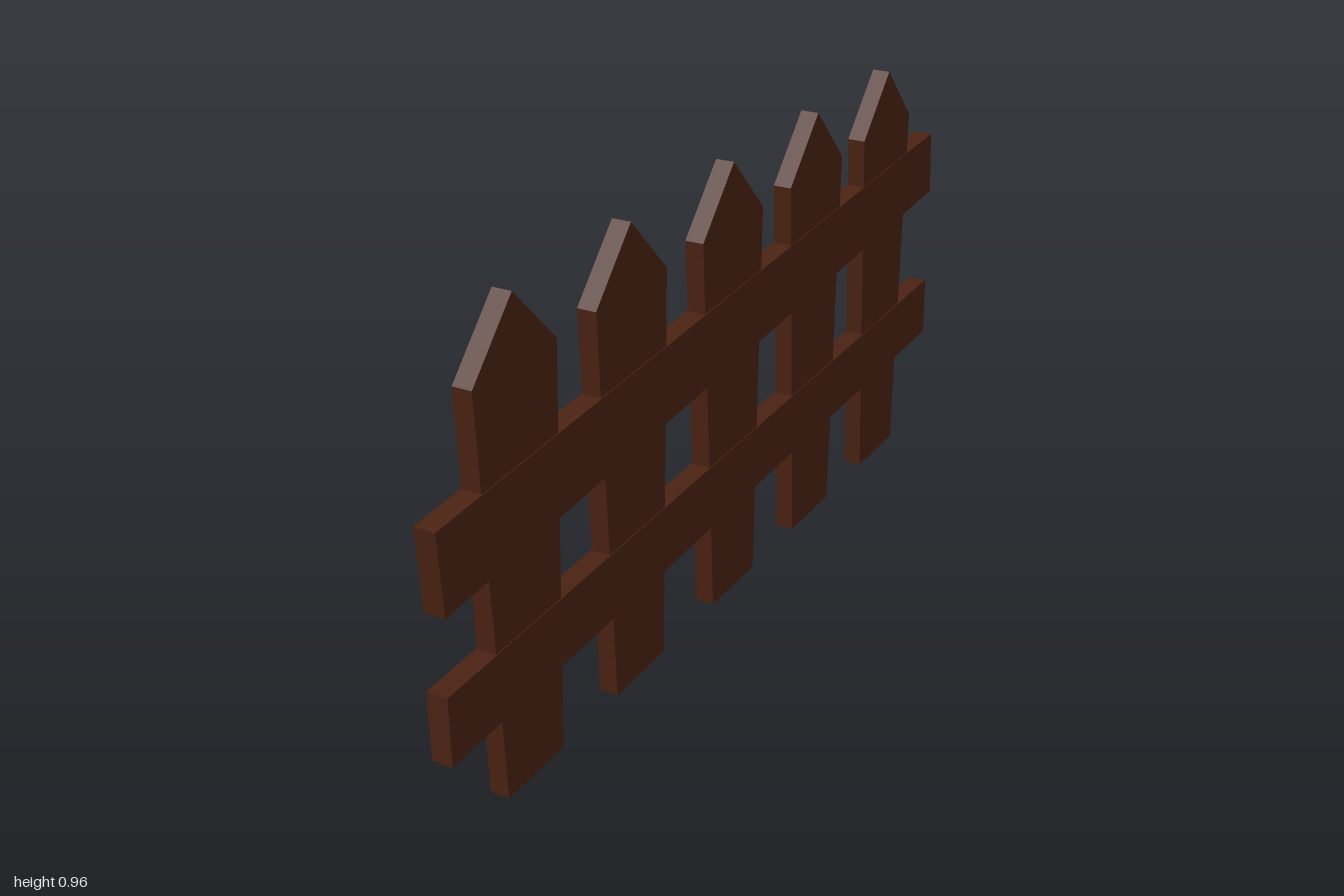
import * as THREE from 'three';

const wood = new THREE.MeshStandardMaterial({ color: 0x4a2213, flatShading: true });

// Board cut from an outline of [z, y] points, with its thickness centred on x = 0
function board(name, points, thickness) {
  const shape = new THREE.Shape(points.map(([z, y]) => new THREE.Vector2(-z, y)));
  const geometry = new THREE.ExtrudeGeometry(shape, { depth: thickness, bevelEnabled: false });
  geometry.translate(0, 0, -thickness / 2);
  geometry.rotateY(Math.PI / 2);
  const mesh = new THREE.Mesh(geometry, wood);
  mesh.name = name;
  return mesh;
}

export function createModel() {
  const group = new THREE.Group();
  group.name = 'picketFence';

  // Pointed pickets, tapering towards the ground
  [0.755, 0.384, 0, -0.37, -0.731].forEach((z, i) => {
    group.add(board(`picket${i + 1}`, [
      [z + 0.089, 0], [z - 0.089, 0], [z - 0.123, 0.83], [z, 0.96], [z + 0.123, 0.83],
    ], 0.04));
  });

  // Slightly crooked rails, a touch thicker than the pickets
  group.add(board('upperRail', [[0.99, 0.462], [-1, 0.595], [-0.99, 0.743], [1, 0.63]], 0.044));
  group.add(board('lowerRail', [[1, 0.17], [-1, 0.22], [-0.997, 0.36], [1, 0.312]], 0.044));

  return group;
}
